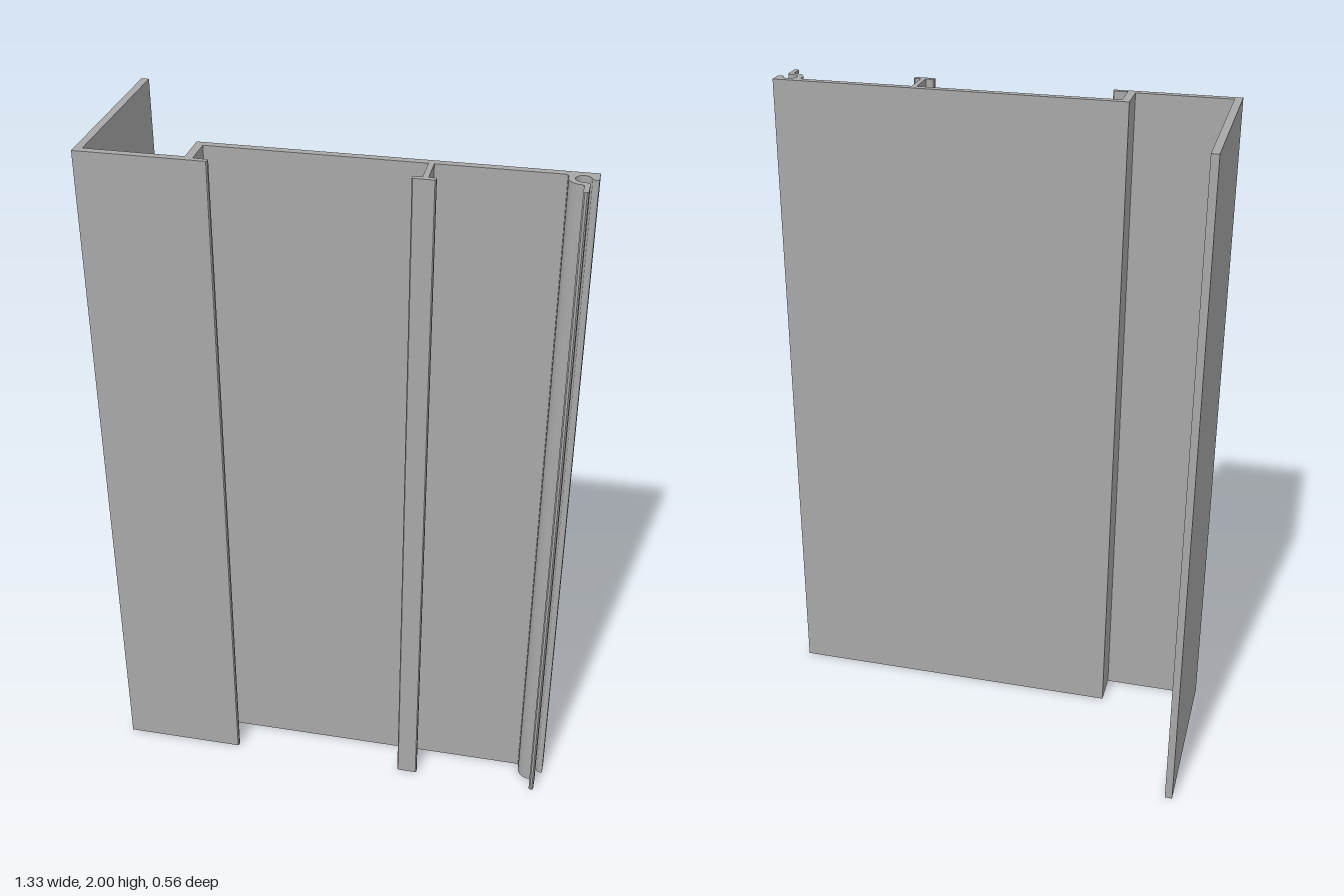
import * as THREE from 'three';
import { toCreasedNormals } from 'three/addons/utils/BufferGeometryUtils.js';

const HEIGHT = 2;

export function createModel() {
  const aluminium = new THREE.MeshStandardMaterial({ color: 0xa8a8a8 });
  aluminium.name = 'aluminium grey';

  // Profile drawn in plan as (x, z); the shape's y axis is -z
  const s = new THREE.Shape();
  const lines = (pts) => pts.forEach(([x, z]) => s.lineTo(x, -z));
  const curve = (cx, cz, x, z) => s.quadraticCurveTo(cx, -cz, x, -z);

  // Side wall, front flange and step up to the main panel
  s.moveTo(-0.665, 0.28);
  lines([[-0.643, -0.28], [-0.643, 0.258], [-0.37, 0.258], [-0.37, 0.155], [0.665, 0.155]]);

  // Rounded tip at the free edge
  lines([[0.665, 0.197]]);
  curve(0.664, 0.201, 0.657, 0.2);
  curve(0.65, 0.199, 0.648, 0.195);

  // Round screw channel
  s.absarc(0.627, -0.197, 0.021, 0.1, Math.PI * 1.5, false);

  // Leg hanging from the channel
  lines([[0.632, 0.219]]);
  curve(0.645, 0.219, 0.645, 0.232);
  lines([[0.645, 0.276], [0.641, 0.28], [0.635, 0.28], [0.631, 0.276], [0.631, 0.244]]);
  curve(0.631, 0.236, 0.624, 0.235);

  // Outside of the channel, with a fillet into the panel
  s.absarc(0.627, -0.197, 0.038, Math.PI * 1.5, Math.PI, true);
  lines([[0.589, 0.187]]);
  curve(0.588, 0.177, 0.58, 0.177);

  // T-shaped rib
  lines([
    [0.254, 0.177], [0.254, 0.265], [0.272, 0.265], [0.275, 0.268], [0.275, 0.277], [0.272, 0.28],
    [0.217, 0.28], [0.214, 0.277], [0.214, 0.268], [0.217, 0.265], [0.239, 0.265], [0.239, 0.177],
  ]);

  // Step lip, closing along the front flange
  lines([
    [-0.347, 0.177], [-0.347, 0.265], [-0.309, 0.265], [-0.306, 0.268],
    [-0.306, 0.277], [-0.309, 0.28], [-0.665, 0.28],
  ]);
  s.closePath();

  const extruded = new THREE.ExtrudeGeometry(s, { depth: HEIGHT, bevelEnabled: false, curveSegments: 16 });
  extruded.rotateX(-Math.PI / 2);

  const profile = new THREE.Mesh(toCreasedNormals(extruded, 0.6), aluminium);
  profile.name = 'extrudedProfile';

  const group = new THREE.Group();
  group.name = 'edgeTrim';
  group.add(profile);
  return group;
}
